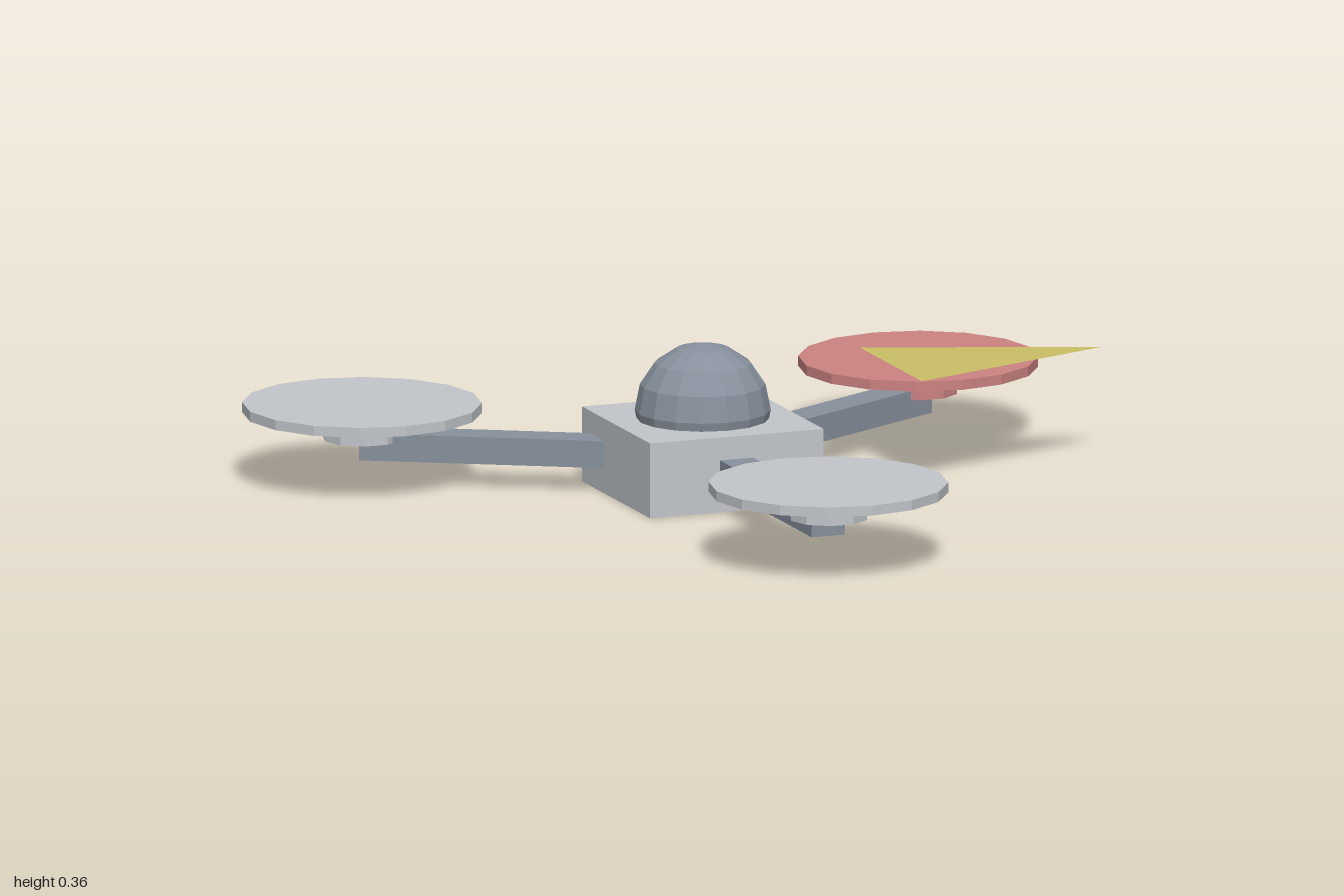
import * as THREE from 'three';

export function createModel() {
  const model = new THREE.Group();
  model.name = 'tricopter';

  const material = (name, color) => {
    const m = new THREE.MeshStandardMaterial({ color, flatShading: true });
    m.name = name;
    return m;
  };
  const lightGrey = material('light grey', 0xc2c6ca);
  const slateGrey = material('slate grey', 0x87909c);
  const red = material('red', 0xcc8282);
  const yellow = material('yellow', 0xcabe66);
  yellow.side = THREE.DoubleSide;

  const add = (parent, name, geometry, mat, x, y, z) => {
    const mesh = new THREE.Mesh(geometry, mat);
    mesh.name = name;
    mesh.position.set(x, y, z);
    parent.add(mesh);
    return mesh;
  };

  // Everything but the pointer radiates from the body centre
  const craft = new THREE.Group();
  craft.name = 'craft';
  craft.position.set(-0.015, 0, -0.203);
  model.add(craft);

  add(craft, 'body', new THREE.BoxGeometry(0.438, 0.18, 0.438), lightGrey, 0, 0.09, 0);
  add(craft, 'dome', new THREE.SphereGeometry(0.16, 16, 8), slateGrey, 0, 0.2, 0);

  // Three arms, each with a hub and rotor disc at the tip
  const reach = 0.81;
  const armGeometry = new THREE.BoxGeometry(0.084, 0.065, reach);
  const hubGeometry = new THREE.CylinderGeometry(0.094, 0.094, 0.065, 10).rotateY(Math.PI / 2);
  const rotorGeometry = new THREE.CylinderGeometry(0.282, 0.282, 0.024, 16);
  const arms = [['front', 0, lightGrey], ['left', 1, red], ['right', 2, lightGrey]];
  for (const [name, i, rotorMaterial] of arms) {
    const angle = (i * Math.PI * 2) / 3;
    const dx = Math.sin(angle);
    const dz = Math.cos(angle);
    const arm = add(craft, name + 'Arm', armGeometry, slateGrey, dx * reach / 2, 0.0925, dz * reach / 2);
    arm.rotation.y = angle;
    add(craft, name + 'Hub', hubGeometry, rotorMaterial, dx * reach, 0.1365, dz * reach);
    add(craft, name + 'Rotor', rotorGeometry, rotorMaterial, dx * reach, 0.178, dz * reach);
  }

  // Flat triangular pointer hovering beside the left rotor
  const triangle = new THREE.Shape([
    new THREE.Vector2(0.46, 0.005),
    new THREE.Vector2(0.993, 0.205),
    new THREE.Vector2(0.46, 0.405),
  ]);
  const pointer = new THREE.ShapeGeometry(triangle).rotateX(-Math.PI / 2);
  add(model, 'pointer', pointer, yellow, 0, 0.27, 0);

  return model;
}
